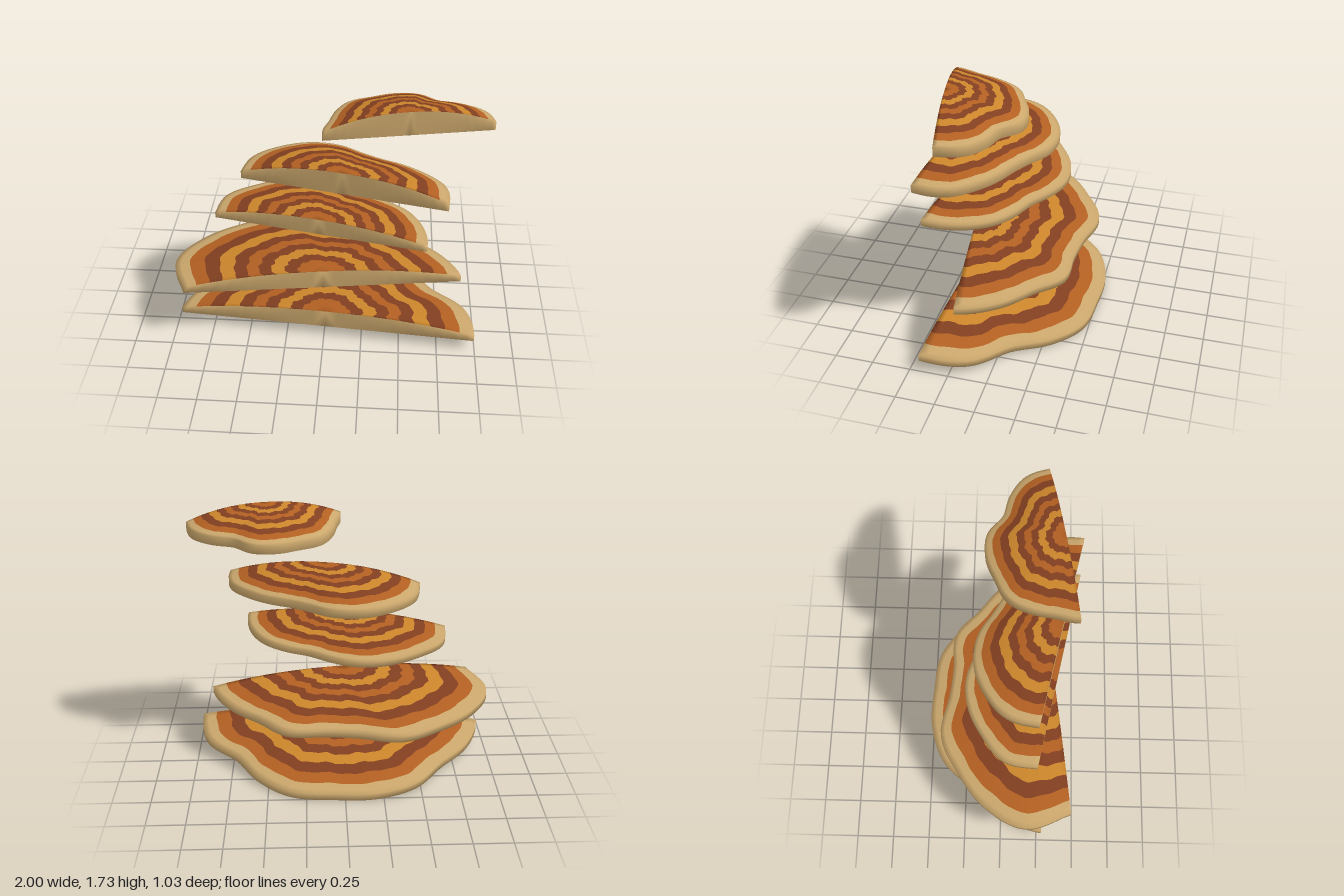
import * as THREE from 'three';

const makeMaterial = (name, color) => {
  const m = new THREE.MeshStandardMaterial({ color });
  m.name = name;
  return m;
};

// Each shelf is a wavy half disc: middle of its straight edge, turn of that edge,
// and radii at equal angles from its left end, round the back, to its right end
const shelves = [
  { name: 'lowestShelf', center: [0.01, 0.08, 0.36], turn: 0.08, slope: 0.09, rim: 0.045, peak: 0.13,
    radii: [0.98, 0.935, 0.873, 0.91, 0.9, 0.875, 0.9, 0.87, 0.84, 0.956, 0.985] },
  { name: 'secondShelf', center: [-0.005, 0.41, 0.35], turn: -0.133, slope: 0.05, rim: 0.045, peak: 0.13,
    radii: [0.903, 1.012, 0.97, 0.897, 0.855, 0.732, 0.714, 0.788, 0.774, 0.843, 0.903] },
  { name: 'middleShelf', center: [-0.03, 0.85, 0.368], turn: 0.202, slope: 0.055, rim: 0.04, peak: 0.11,
    radii: [0.684, 0.72, 0.678, 0.652, 0.613, 0.55, 0.514, 0.557, 0.615, 0.655, 0.684] },
  { name: 'fourthShelf', center: [0.115, 1.157, 0.368], turn: 0.214, slope: 0.05, rim: 0.05, peak: 0.15,
    radii: [0.65, 0.673, 0.643, 0.603, 0.538, 0.458, 0.437, 0.476, 0.543, 0.627, 0.65] },
  { name: 'topShelf', center: [0.5, 1.577, 0.355], turn: -0.188, slope: 0.075, rim: 0.055, peak: 0.153,
    radii: [0.509, 0.475, 0.485, 0.499, 0.475, 0.482, 0.472, 0.416, 0.462, 0.508, 0.509] },
];

// Growth ring edges from the middle of the straight edge outward, and the colour of each ring
const ringEdges = [0, 0.08, 0.165, 0.25, 0.34, 0.425, 0.51, 0.6, 0.7, 0.8, 0.9, 0.96, 1];
const TAN = 0, RUST = 1, BROWN = 2, AMBER = 3;
const ringColors = [RUST, RUST, BROWN, AMBER, BROWN, RUST, BROWN, AMBER, BROWN, RUST, TAN, TAN];

function shelfGeometry({ slope, rim, peak, radii }, seed) {
  const n = 61;
  const outline = new THREE.SplineCurve(radii.map((r, i) => new THREE.Vector2(i, r)));

  // Rows go outward over the domed top, then back inward under the flat bottom
  const m = ringEdges.length;
  const rows = 2 * m;
  const pos = [];
  for (let r = 0; r < rows; r++) {
    const top = r < m;
    const edge = ringEdges[top ? r : rows - 1 - r];
    for (let i = 0; i < n; i++) {
      const angle = (Math.PI * i) / (n - 1);
      const wave = Math.sin(i * 0.75 + seed * 2 + edge * 5) + 0.6 * Math.sin(i * 1.7 + seed + edge * 9);
      const t = edge + 0.05 * wave * edge * (1 - edge);
      const radius = outline.getPoint(i / (n - 1)).y * t;
      const depth = radius * Math.sin(angle);
      const height = top ? rim + (peak - rim) * (1 - t ** 2.2) : 0;
      pos.push(-radius * Math.cos(angle), height - slope * depth, -depth);
    }
  }
  // First and last rows collapse to one shared vertex each
  const id = (r, i) => r * n + (r === 0 || r === rows - 1 ? 0 : i);

  const geo = new THREE.BufferGeometry();
  const index = [];
  const quad = (a, b, c, d) => {
    if (a !== b) index.push(a, b, c);
    if (c !== d) index.push(a, c, d);
  };
  for (let r = 0; r < rows - 1; r++) {
    const start = index.length;
    for (let i = 0; i < n - 1; i++) quad(id(r, i), id(r, i + 1), id(r + 1, i + 1), id(r + 1, i));
    geo.addGroup(start, index.length - start, r < m - 1 ? ringColors[r] : TAN);
  }
  // Straight front wall, both halves
  const start = index.length;
  for (let j = 0; j < m - 1; j++) {
    const k = rows - 1 - j;
    quad(id(j, 0), id(j + 1, 0), id(k - 1, 0), id(k, 0));
    quad(id(j, n - 1), id(k, n - 1), id(k - 1, n - 1), id(j + 1, n - 1));
  }
  geo.addGroup(start, index.length - start, TAN);

  geo.setAttribute('position', new THREE.Float32BufferAttribute(pos, 3));
  geo.setIndex(index);
  geo.computeVertexNormals();
  return geo;
}

export function createModel() {
  const materials = [
    makeMaterial('tan flesh', 0xcba76c),
    makeMaterial('rust band', 0xb36022),
    makeMaterial('brown band', 0x823f20),
    makeMaterial('amber band', 0xcc862b),
  ];
  const group = new THREE.Group();
  group.name = 'bracketFungus';
  shelves.forEach((shelf, i) => {
    const mesh = new THREE.Mesh(shelfGeometry(shelf, i + 1), materials);
    mesh.name = shelf.name;
    mesh.position.set(...shelf.center);
    mesh.rotation.y = -shelf.turn;
    group.add(mesh);
  });
  return group;
}
